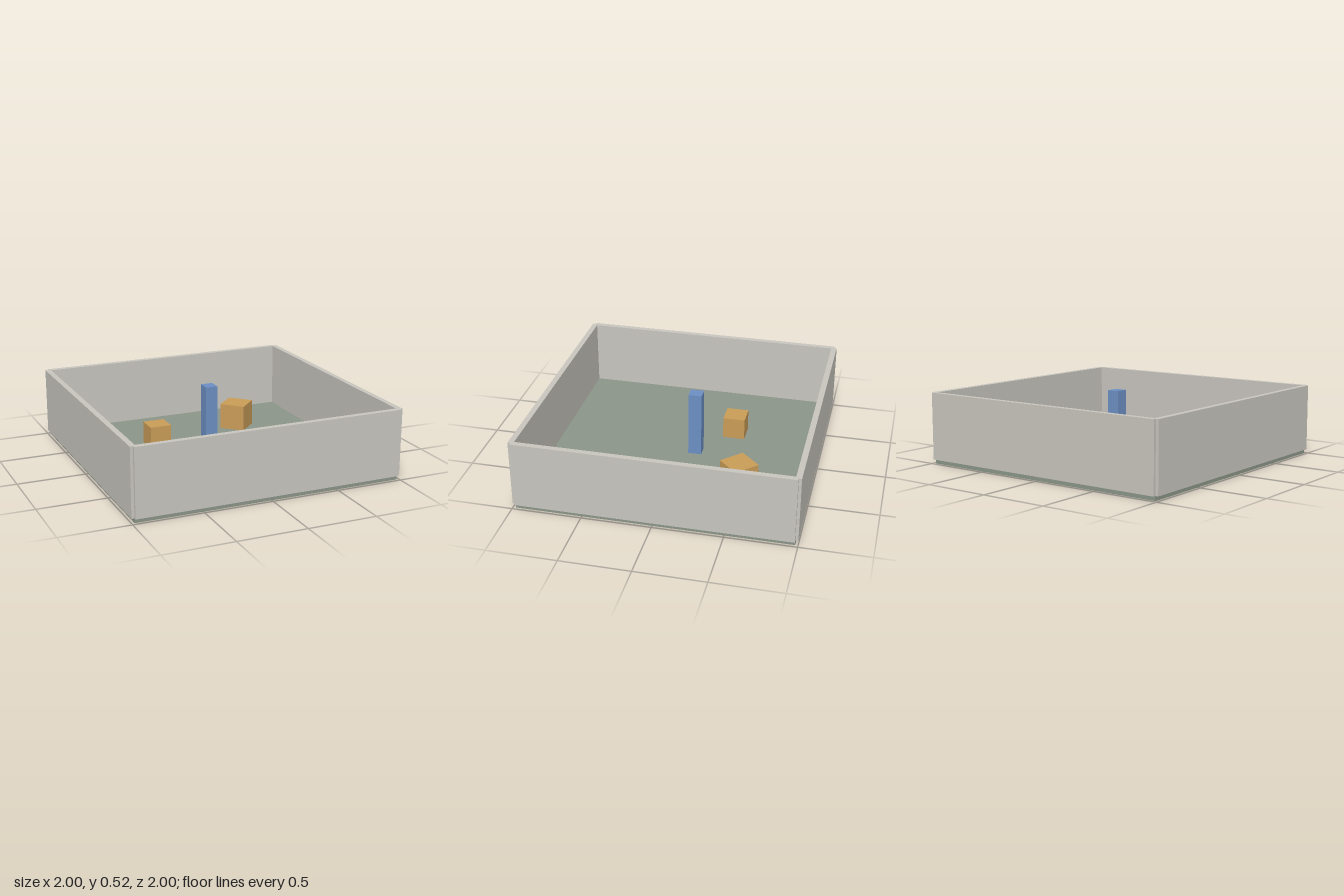
import * as THREE from 'three';

const U = 2 / 24.5; // one layout unit

export function createModel() {
  const mat = (name, color) => {
    const m = new THREE.MeshStandardMaterial({ color });
    m.name = name;
    return m;
  };
  const stone = mat('pale stone', 0xc8c5be);
  const green = mat('floor green', 0x8b9588);
  const wood = mat('crate orange', 0xc99c57);
  const blue = mat('pillar blue', 0x6c8fc3);

  const group = new THREE.Group();
  group.name = 'walledArena';

  // Box standing on a given height, sizes and position in layout units
  const block = (name, material, [w, h, d], [x, y, z], turn = 0) => {
    const mesh = new THREE.Mesh(new THREE.BoxGeometry(w * U, h * U, d * U), material);
    mesh.name = name;
    mesh.position.set(x * U, (y + h / 2) * U, z * U);
    mesh.rotation.y = turn;
    group.add(mesh);
  };

  // Floor slab, its top at 0.4
  const top = 0.4;
  block('floor', green, [24, top, 24], [0, 0, 0]);

  // Four walls centred on the slab edges, leaving notched corners
  for (const s of [-1, 1]) {
    block(s > 0 ? 'frontWall' : 'backWall', stone, [24, 6, 0.5], [0, top, s * 12]);
    block(s > 0 ? 'leftWall' : 'rightWall', stone, [0.5, 6, 24], [s * 12, top, 0]);
  }

  // Objects on the floor
  block('pillar', blue, [1.12, 6, 1.2], [0, top, -1.07]);
  block('smallCrate', wood, [2, 2, 2], [-4, top, -4]);
  block('turnedCrate', wood, [2.4, 2.4, 2.4], [5, top, -6], Math.PI / 4);
  block('lowBlock', stone, [4, 0.9, 2], [6, top, 4]);

  return group;
}
